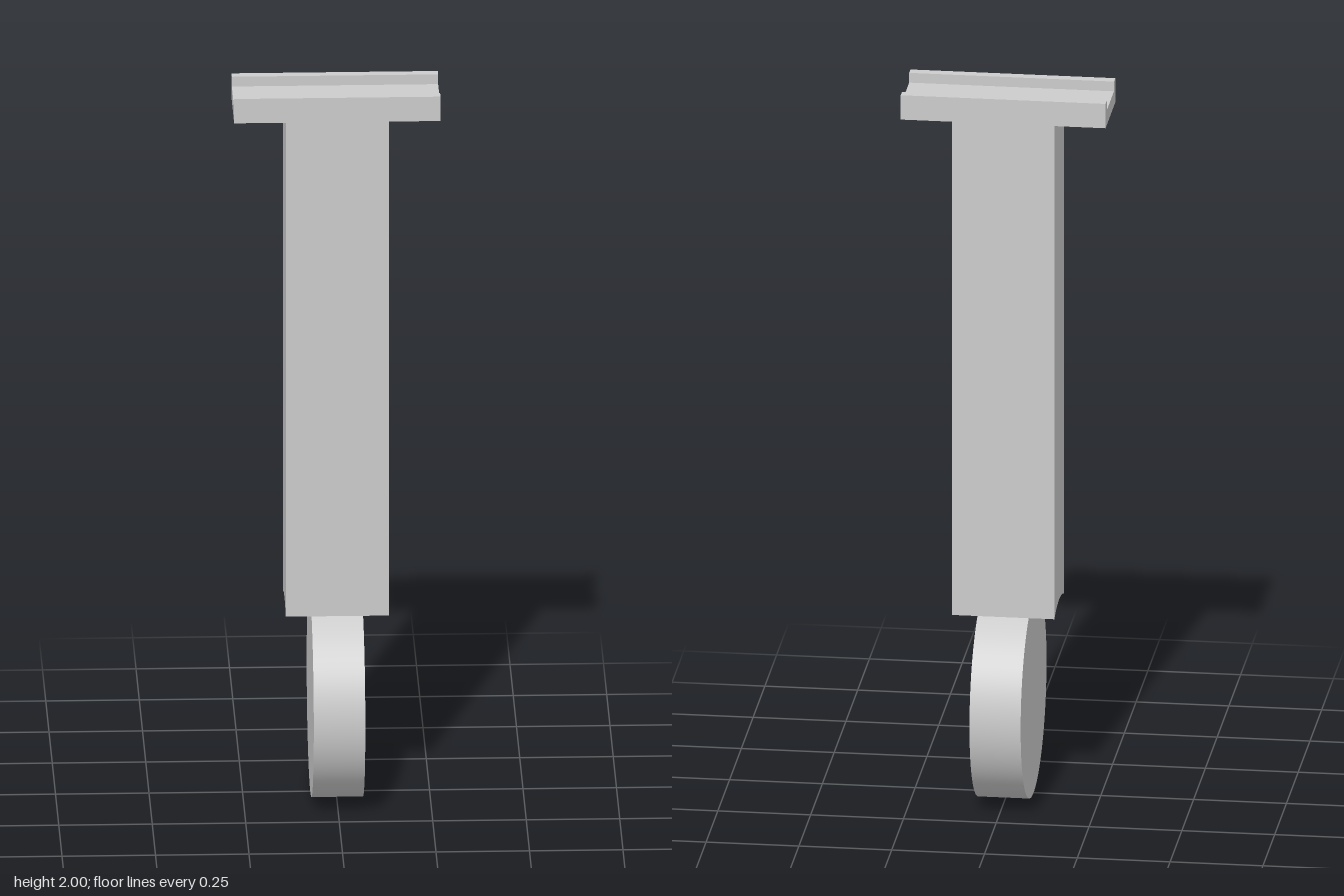
import * as THREE from 'three';
import { toCreasedNormals } from 'three/addons/utils/BufferGeometryUtils.js';

const U = 2 / 29;            // base module: every size is a multiple of it
const WHEEL_R = 4 * U;       // wheel radius, also its centre height
const HALF_Z = 1.5 * U;      // half depth of post and rail
const RAIL_Y = 2 - U;        // underside of the rail
const LIP = 0.4 * U;         // width and height of the rail's lips

export function createModel() {
  const group = new THREE.Group();
  const material = new THREE.MeshStandardMaterial({ color: 0xcccccc });

  const add = (name, geometry) => {
    const mesh = new THREE.Mesh(geometry, material);
    mesh.name = name;
    group.add(mesh);
    return mesh;
  };

  // Extrudes a side profile (z, y) across x, centred on x = 0
  const extrudeAcross = (shape, width) => {
    const g = new THREE.ExtrudeGeometry(shape, { depth: width, bevelEnabled: false, curveSegments: 24 });
    g.translate(0, 0, -width / 2);
    g.rotateY(Math.PI / 2);
    return toCreasedNormals(g, 0.5);
  };

  // Wheel: a smooth disc with its axis along x
  const wheel = add('wheel', new THREE.CylinderGeometry(WHEEL_R, WHEEL_R, 2 * U, 96));
  wheel.rotation.z = Math.PI / 2;
  wheel.position.y = WHEEL_R;

  // Post: its lower end is hollowed to the curve of the wheel
  const a = Math.asin(HALF_Z / WHEEL_R);
  const post = new THREE.Shape();
  post.absarc(0, WHEEL_R, WHEEL_R, Math.PI / 2 + a, Math.PI / 2 - a, true);
  post.lineTo(HALF_Z, RAIL_Y);
  post.lineTo(-HALF_Z, RAIL_Y);
  post.closePath();
  add('post', extrudeAcross(post, 4 * U));

  // Rail: a shallow channel with a lip along the front and back
  const inner = HALF_Z - LIP;
  const rail = new THREE.Shape([
    [-HALF_Z, RAIL_Y], [HALF_Z, RAIL_Y], [HALF_Z, 2], [inner, 2],
    [inner, 2 - LIP], [-inner, 2 - LIP], [-inner, 2], [-HALF_Z, 2],
  ].map(([z, y]) => new THREE.Vector2(z, y)));
  add('topRail', extrudeAcross(rail, 8 * U));

  return group;
}
